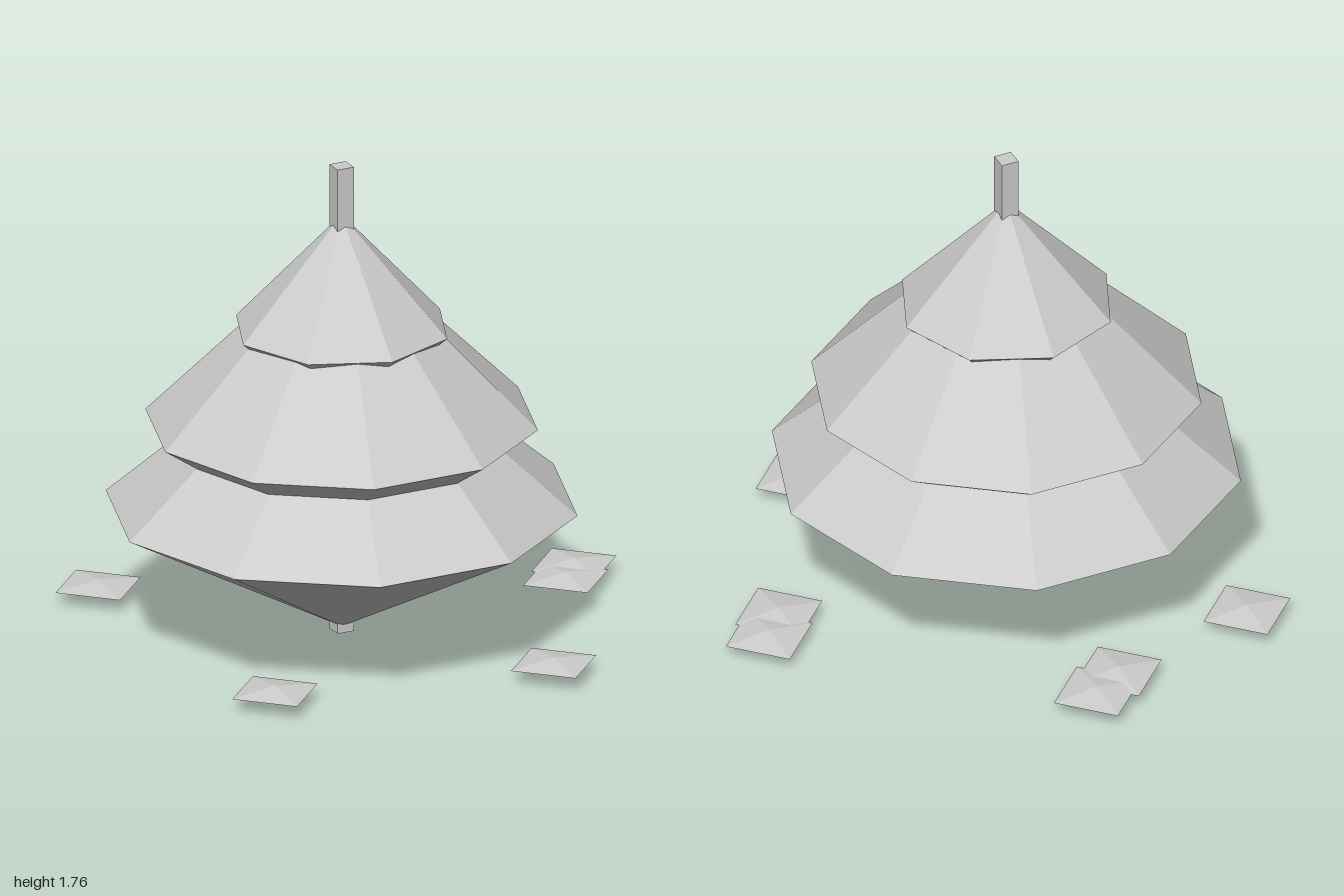
import * as THREE from 'three';

const CX = -0.15, CZ = 0.07; // trunk axis

export function createModel() {
  const model = new THREE.Group();
  model.name = 'tree';
  const grey = new THREE.MeshStandardMaterial({ color: 0xcccccc, flatShading: true });
  grey.name = 'light grey';

  const add = (name, geometry, x, y, z) => {
    const mesh = new THREE.Mesh(geometry, grey);
    mesh.name = name;
    mesh.position.set(x, y, z);
    model.add(mesh);
    return mesh;
  };

  // Square trunk running through the whole tree
  add('trunk', new THREE.BoxGeometry(0.065, 1.76, 0.065), CX, 0.88, CZ);

  // Foliage tiers: a faceted double cone each, with corners on the x axis
  const tiers = [
    { name: 'lowerFoliage', sides: 10, r: 0.845, bottom: 0.013, rim: 0.48, top: 1.21 },
    { name: 'middleFoliage', sides: 10, r: 0.703, bottom: 0.315, rim: 0.797, top: 1.5 },
    { name: 'upperFoliage', sides: 8, r: 0.392, bottom: 0.8, rim: 1.148, top: 1.575 },
  ];
  for (const { name, sides, r, bottom, rim, top } of tiers) {
    const profile = [[0, bottom], [r, rim], [0, top]].map(([x, y]) => new THREE.Vector2(x, y));
    add(name, new THREE.LatheGeometry(profile, sides, Math.PI / 2), CX, 0, CZ);
  }

  // Fallen leaves: flat diamonds scattered around the trunk
  const leaf = new THREE.OctahedronGeometry(0.17);
  const spots = [
    [-0.775, -0.6], [-0.08, -0.83], [-0.2, -0.75], [0.82, -0.015],
    [0.73, 0.095], [0.305, 0.825], [-0.7, 0.62],
  ];
  for (const [x, z] of spots) add('fallenLeaf', leaf, x, 0.05, z).scale.y = 0.13;

  return model;
}
